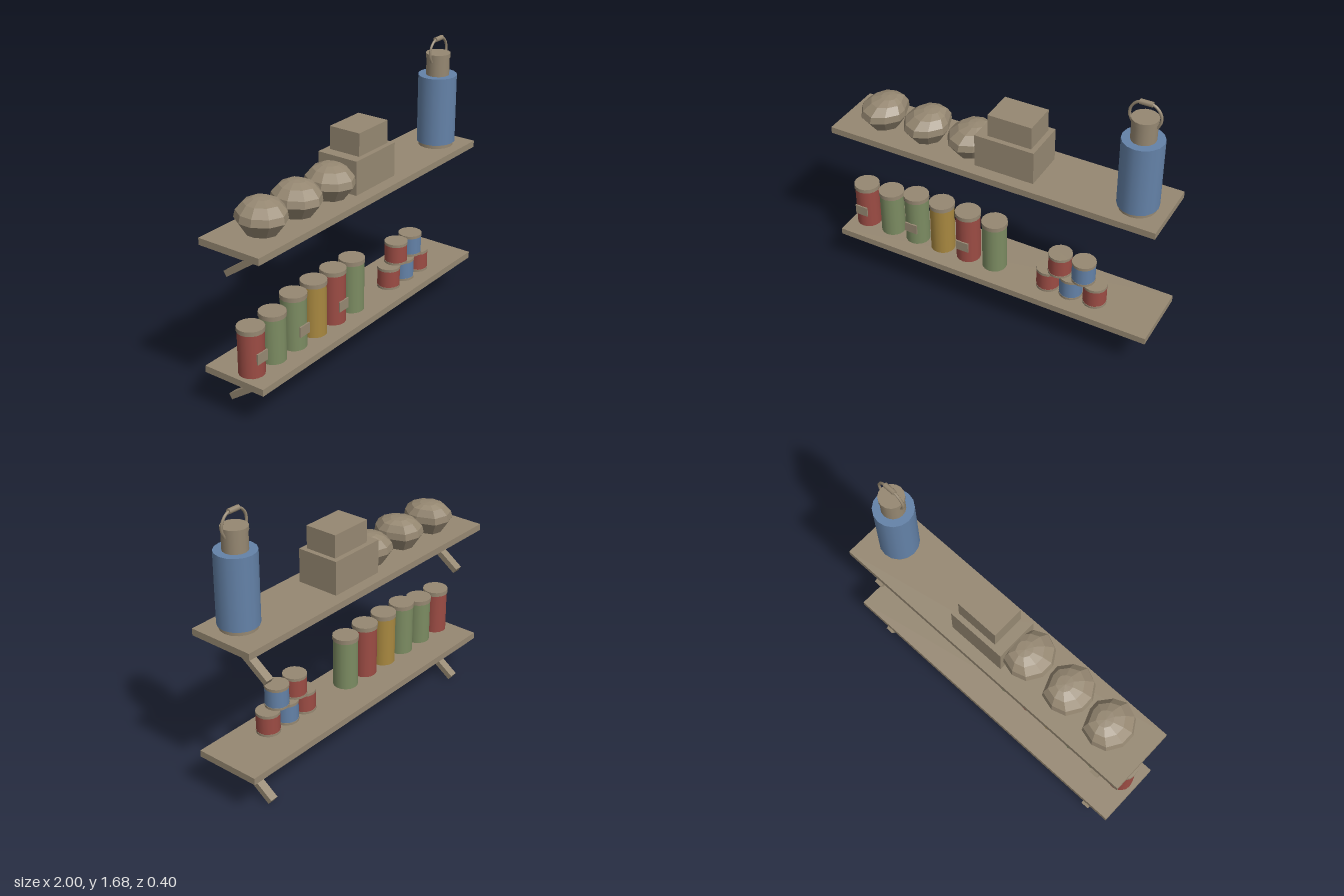
import * as THREE from 'three';

const mat = (name, color, flatShading = false) => {
  const m = new THREE.MeshStandardMaterial({ color });
  m.name = name;
  m.flatShading = flatShading;
  return m;
};

export function createModel() {
  const root = new THREE.Group();
  root.name = 'stockedShelves';
  const wood = mat('dustyBrown', 0x968872);
  const blue = mat('enamelBlue', 0x6482a8);
  const red = mat('tinRed', 0x9c4c44);
  const green = mat('tinGreen', 0x7c8c62);
  const yellow = mat('tinYellow', 0xa88840);

  const add = (parent, name, geo, material, x = 0, y = 0, z = 0) => {
    const m = new THREE.Mesh(geo, material);
    m.name = name;
    m.position.set(x, y, z);
    parent.add(m);
    return m;
  };
  const group = (name, x, y, z) => {
    const g = new THREE.Group();
    g.name = name;
    g.position.set(x, y, z);
    root.add(g);
    return g;
  };
  // Upright cylinder between two heights
  const drum = (parent, name, r, y0, y1, material) =>
    add(parent, name, new THREE.CylinderGeometry(r, r, y1 - y0, 16), material, 0, (y0 + y1) / 2, 0);

  // Two boards, each on a pair of slanted braces
  for (const top of [0.27, 1.02]) {
    add(root, 'shelfBoard', new THREE.BoxGeometry(2, 0.04, 0.4), wood, 0, top - 0.02, 0);
    for (const side of [-1, 1]) {
      const brace = add(root, 'brace', new THREE.BoxGeometry(0.05, 0.036, 0.325), wood,
        side * 0.83, top - 0.161, -0.031);
      brace.rotation.x = -0.61;
    }
  }

  // Row of tall tins: x, height, colour, has label
  const tins = [
    [-0.9, 0.28, red, true], [-0.725, 0.29, green, false], [-0.55, 0.325, green, true],
    [-0.375, 0.33, yellow, false], [-0.2, 0.33, red, true], [-0.025, 0.325, green, false],
  ];
  for (const [x, h, color, label] of tins) {
    const g = group('tallTin', x, 0.27, 0.04);
    drum(g, 'tinBody', 0.073, 0, h - 0.026, color);
    drum(g, 'tinLid', 0.077, h - 0.026, h, wood);
    if (label) add(g, 'label', new THREE.BoxGeometry(0.08, 0.062, 0.009), wood, 0, 0.118, 0.075);
  }

  // Stack of small cans: x, base height, colour
  const cans = [
    [0.33, 0.27, red], [0.475, 0.27, blue], [0.625, 0.27, red],
    [0.403, 0.403, red], [0.55, 0.403, blue],
  ];
  for (const [x, y, color] of cans) {
    const g = group('smallCan', x, y, 0.05);
    drum(g, 'canBase', 0.07, 0, 0.014, wood);
    drum(g, 'canBody', 0.068, 0.014, 0.116, color);
    drum(g, 'canTop', 0.07, 0.116, 0.133, wood);
  }

  // Faceted sacks, lofted from one outline; levels are [height, scale, x shift, z shift]
  const outline = [[0, 0.165], [0.075, 0.13], [0.132, 0.06], [0.132, 0], [0.09, -0.11],
    [0, -0.135], [-0.08, -0.11], [-0.13, -0.03], [-0.13, 0.05], [-0.08, 0.13]];
  const levels = [[0, 0, 0, 0], [0, 0.62, 0, 0], [0.08, 1, 0, 0], [0.12, 0.95, 0.004, 0],
    [0.16, 0.68, 0.016, -0.006], [0.178, 0.34, 0.025, -0.01], [0.182, 0, 0.02, -0.01]];
  const n = outline.length, pos = [], idx = [];
  for (const [y, s, dx, dz] of levels)
    for (const [x, z] of outline) pos.push(x * s + dx, y, z * s + dz);
  for (let l = 0; l < levels.length - 1; l++)
    for (let i = 0; i < n; i++) {
      const a = l * n + i, b = l * n + (i + 1) % n;
      if (levels[l][1] > 0) idx.push(a, b, a + n);
      if (levels[l + 1][1] > 0) idx.push(b, b + n, a + n);
    }
  const indexed = new THREE.BufferGeometry();
  indexed.setAttribute('position', new THREE.Float32BufferAttribute(pos, 3));
  indexed.setIndex(idx);
  const sackGeo = indexed.toNonIndexed();
  sackGeo.computeVertexNormals();
  const sackCloth = mat('sackBrown', 0x968872, true);
  for (const x of [-0.753, -0.47, -0.185]) add(root, 'sack', sackGeo, sackCloth, x, 1.02, 0);

  // Two stacked boxes
  add(root, 'largeBox', new THREE.BoxGeometry(0.36, 0.2, 0.26), wood, 0.08, 1.12, -0.003);
  add(root, 'smallBox', new THREE.BoxGeometry(0.265, 0.135, 0.2), wood, 0.098, 1.2875, -0.003);

  // Flask with cap and carrying handle
  const flask = group('flask', 0.83, 1.02, 0.033);
  drum(flask, 'flaskBase', 0.105, 0, 0.024, wood);
  drum(flask, 'flaskBody', 0.115, 0.024, 0.435, blue);
  drum(flask, 'flaskNeck', 0.069, 0.435, 0.54, wood);
  drum(flask, 'flaskCap', 0.073, 0.54, 0.565, wood);
  const arc = [[-0.068, 0.52], [-0.085, 0.555], [-0.082, 0.6], [-0.05, 0.64], [0, 0.65],
    [0.05, 0.64], [0.082, 0.6], [0.085, 0.555], [0.068, 0.52]];
  const path = new THREE.CatmullRomCurve3(arc.map(([x, y]) => new THREE.Vector3(x, y, 0)));
  add(flask, 'handle', new THREE.TubeGeometry(path, 20, 0.008, 6), wood);
  const grip = add(flask, 'handleGrip', new THREE.CylinderGeometry(0.015, 0.015, 0.07, 8), wood, 0, 0.648, 0);
  grip.rotation.z = Math.PI / 2;

  return root;
}
